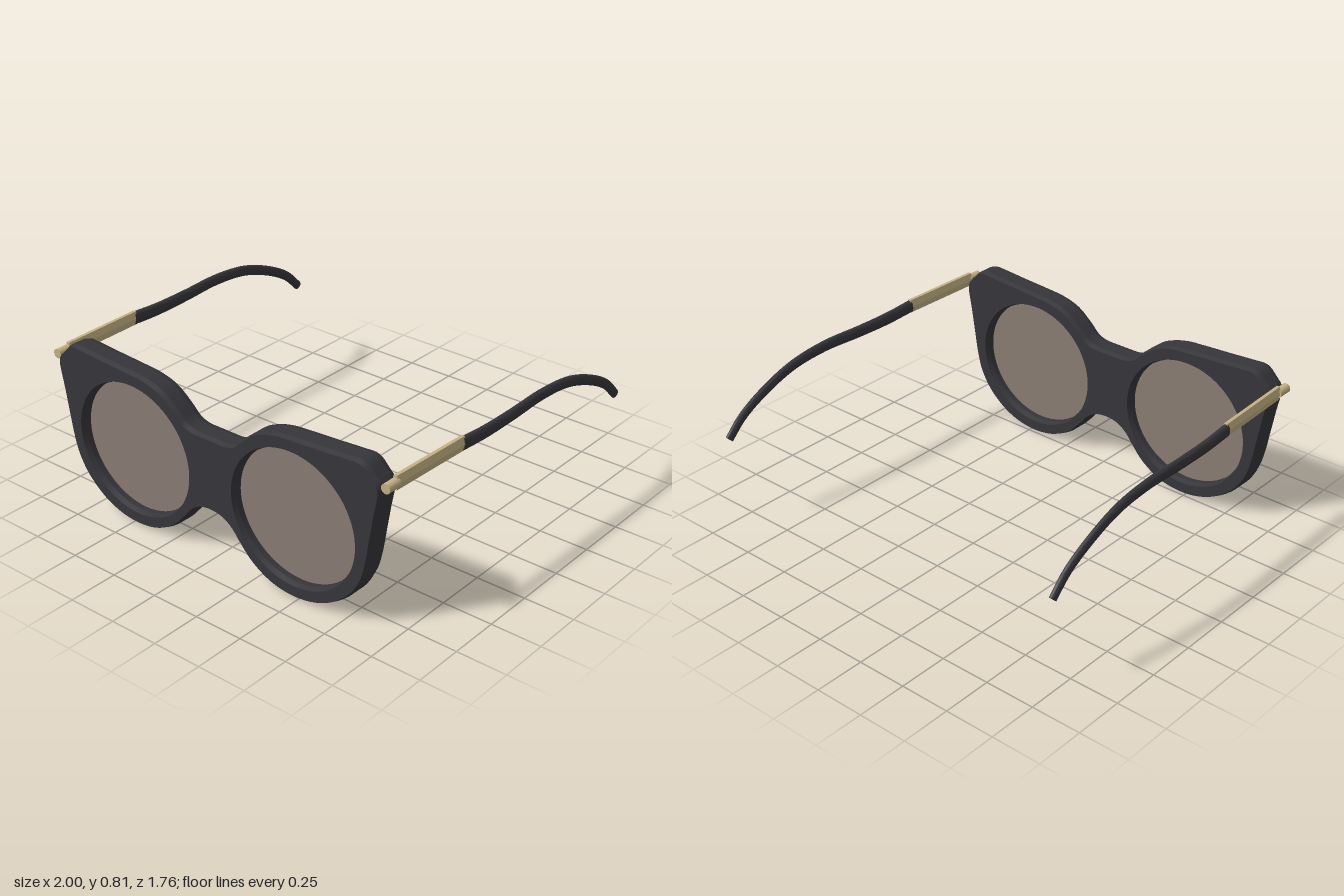
import * as THREE from 'three';
import { toCreasedNormals } from 'three/addons/utils/BufferGeometryUtils.js';

const mat = (color) => new THREE.MeshStandardMaterial({ color });
const LENS = { x: 0.47, y: 0.396, rx: 0.337, ry: 0.323 };
const FRONT_Z = 0.82;

function addMesh(parent, name, geometry, material) {
  const mesh = new THREE.Mesh(geometry, material);
  mesh.name = name;
  parent.add(mesh);
  return mesh;
}

// Right half of the rim outline, from the top of the bridge round to the bottom of the bridge
const HALF_OUTLINE = [
  [0, 0.622], [0.05, 0.622], [0.095, 0.623], [0.145, 0.638], [0.2, 0.688], [0.285, 0.75],
  [0.385, 0.78], [0.47, 0.788], [0.64, 0.799], [0.78, 0.809], [0.83, 0.811], [0.862, 0.799],
  [0.9, 0.762], [0.928, 0.732], [0.936, 0.7], [0.915, 0.575], [0.895, 0.457], [0.875, 0.34],
  [0.848, 0.245], [0.79, 0.15], [0.69, 0.065], [0.585, 0.02], [0.47, 0.005], [0.345, 0.025],
  [0.235, 0.085], [0.16, 0.162], [0.118, 0.212], [0.068, 0.245], [0, 0.257],
];

// Rim plate with chamfered edges and two oval openings
function rimGeometry() {
  const mirrored = HALF_OUTLINE.slice(1, -1).reverse().map(([x, y]) => [-x, y]);
  const points = [...HALF_OUTLINE, ...mirrored].map(([x, y]) => new THREE.Vector3(x, y, 0));
  const curve = new THREE.CatmullRomCurve3(points, true, 'centripetal');
  const outline = curve.getSpacedPoints(300).slice(0, -1).map((p) => new THREE.Vector2(p.x, p.y));
  const shape = new THREE.Shape(outline);
  for (const side of [-1, 1]) {
    const hole = new THREE.Path();
    hole.absellipse(side * LENS.x, LENS.y, LENS.rx, LENS.ry, 0, Math.PI * 2);
    shape.holes.push(hole);
  }
  const geometry = new THREE.ExtrudeGeometry(shape, {
    depth: 0.07, bevelThickness: 0.025, bevelSize: 0.008, bevelOffset: -0.008,
    bevelSegments: 1, curveSegments: 40,
  });
  geometry.translate(0, 0, FRONT_Z - 0.035);
  return toCreasedNormals(geometry, 0.28);
}

// Capped oval bar along a path running towards -z; size(t) gives half width and half height
function loft(path, steps, sides, size, crease) {
  const xAxis = new THREE.Vector3(1, 0, 0);
  const positions = [];
  const index = [];
  for (let i = -1; i <= steps + 1; i++) {
    const t = Math.min(Math.max(i / steps, 0), 1);
    const isCap = i < 0 || i > steps;
    const [w, h] = isCap ? [0, 0] : size(t);
    const c = path.getPointAt(t);
    const up = new THREE.Vector3().crossVectors(xAxis, path.getTangentAt(t)).normalize();
    for (let j = 0; j < sides; j++) {
      const a = (j / sides) * Math.PI * 2;
      const p = c.clone().addScaledVector(xAxis, w * Math.cos(a)).addScaledVector(up, h * Math.sin(a));
      positions.push(p.x, p.y, p.z);
    }
  }
  for (let i = 0; i < steps + 2; i++) {
    for (let j = 0; j < sides; j++) {
      const k = (j + 1) % sides;
      const a = i * sides + j, b = a + sides, c = i * sides + k, d = c + sides;
      if (i > 0) index.push(a, b, c);
      if (i === 0) index.push(c, b, d);
      else if (i < steps + 1) index.push(c, b, d);
    }
  }
  const geometry = new THREE.BufferGeometry();
  geometry.setAttribute('position', new THREE.Float32BufferAttribute(positions, 3));
  geometry.setIndex(index);
  return toCreasedNormals(geometry, crease);
}

export function createModel() {
  const model = new THREE.Group();
  model.name = 'sunglasses';
  const dark = mat(0x36353a);
  const gold = mat(0xc4b283);
  const tinted = mat(0x8a7d74);

  addMesh(model, 'rim', rimGeometry(), dark);

  for (const side of [-1, 1]) {
    const label = side > 0 ? 'left' : 'right';

    // Thin lens seated in the middle of the rim
    const lens = addMesh(model, `${label}Lens`, new THREE.CylinderGeometry(1, 1, 0.012, 80), tinted);
    lens.rotation.x = Math.PI / 2;
    lens.scale.set(LENS.rx + 0.002, 1, LENS.ry + 0.002);
    lens.position.set(side * LENS.x, LENS.y, FRONT_Z);

    const temple = new THREE.Group();
    temple.name = `${label}Temple`;
    model.add(temple);

    // Hinge barrel against the side of the rim
    const barrel = new THREE.CylinderGeometry(0.023, 0.023, 0.075, 16);
    barrel.rotateX(Math.PI / 2);
    addMesh(temple, 'hinge', barrel, gold).position.set(side * 0.957, 0.725, 0.828);

    // Six-sided metal arm
    const armPath = new THREE.LineCurve3(
      new THREE.Vector3(side * 0.955, 0.725, 0.8),
      new THREE.Vector3(side * 0.969, 0.722, 0.355),
    );
    addMesh(temple, 'metalArm', loft(armPath, 1, 6, () => [0.017, 0.039], 0.3), gold);

    // Curved ear piece, narrowing towards the tip
    const earPath = new THREE.CatmullRomCurve3([
      [0.97, 0.72, 0.365], [0.973, 0.71, 0.2], [0.976, 0.711, 0], [0.979, 0.718, -0.23],
      [0.981, 0.695, -0.44], [0.983, 0.629, -0.63], [0.984, 0.552, -0.77], [0.985, 0.467, -0.86],
    ].map(([x, y, z]) => new THREE.Vector3(side * x, y, z)));
    const earSize = (t) => [0.019 - 0.004 * t, 0.034 - 0.011 * t];
    addMesh(temple, 'earPiece', loft(earPath, 48, 20, earSize, 0.8), dark);
  }
  return model;
}
